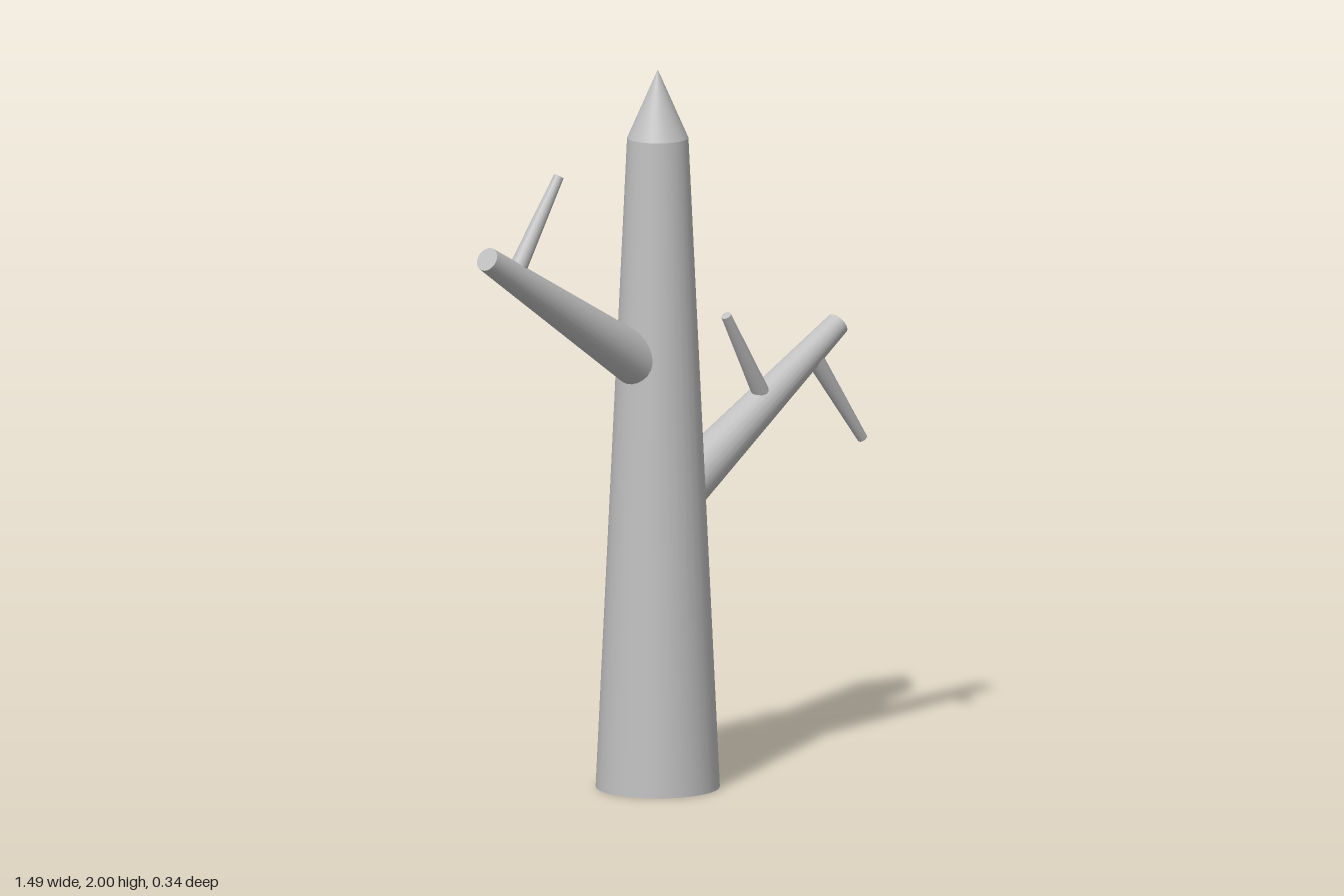
import * as THREE from 'three';

const UP = new THREE.Vector3(0, 1, 0);

export function createModel() {
  const model = new THREE.Group();
  model.name = 'bareTree';
  const wood = new THREE.MeshStandardMaterial({ color: 0xc0c0c0 });
  wood.name = 'grey wood';

  // Tapered round limb between two points
  function limb(name, from, to, r0, r1, sides, open = false) {
    const a = new THREE.Vector3(...from);
    const b = new THREE.Vector3(...to);
    const dir = b.clone().sub(a);
    const geometry = new THREE.CylinderGeometry(r1, r0, dir.length(), sides, 1, open);
    const mesh = new THREE.Mesh(geometry, wood);
    mesh.name = name;
    mesh.position.copy(a).add(b).multiplyScalar(0.5);
    mesh.quaternion.setFromUnitVectors(UP, dir.normalize());
    model.add(mesh);
  }

  // Trunk
  limb('trunk', [-0.04, 0, 0], [-0.04, 1.81, 0], 0.17, 0.084, 32);

  // Pointed top
  const tip = new THREE.Mesh(new THREE.ConeGeometry(0.084, 0.19, 32, 1, true), wood);
  tip.name = 'trunkTip';
  tip.position.set(-0.04, 1.905, 0);
  model.add(tip);

  // Main branches, rooted inside the trunk
  limb('leftBranch', [-0.04, 0.76, 0], [0.658, 1.192, 0], 0.077, 0.033, 24);
  limb('rightBranch', [-0.04, 1.15, -0.005], [-0.73, 1.572, 0.028], 0.075, 0.034, 24);

  // Twigs
  limb('leftUpperTwig', [0.37, 1.013, 0.008], [0.2, 1.283, 0.025], 0.026, 0.014, 16);
  limb('leftLowerTwig', [0.55, 1.122, 0.01], [0.73, 0.865, 0.024], 0.025, 0.014, 16);
  limb('rightTwig', [-0.62, 1.503, 0.02], [-0.457, 1.765, 0.033], 0.026, 0.014, 16);

  return model;
}
